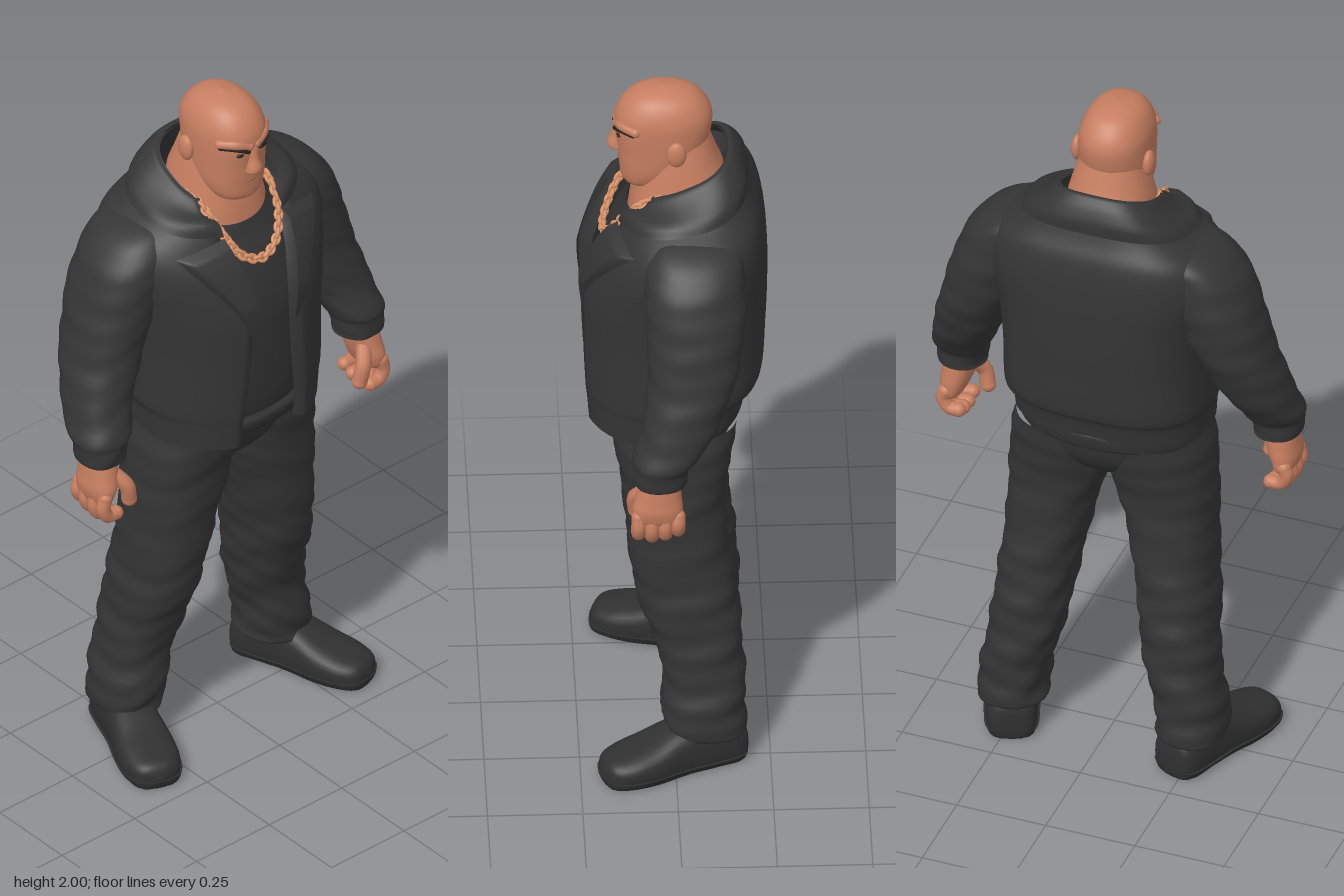
import * as THREE from 'three';
import { mergeVertices, mergeGeometries } from 'three/addons/utils/BufferGeometryUtils.js';

const mat = (name, color, side = THREE.FrontSide) => {
  const m = new THREE.MeshStandardMaterial({ color, side });
  m.name = name;
  return m;
};
const lerp = THREE.MathUtils.lerp;
const V = (x, y, z) => new THREE.Vector3(x, y, z);

// Smooth interpolation between cross-section rows [x, y, z, radiusX, radiusZ, tilt, gap]
function sample(rows, v) {
  const n = rows.length, i = Math.min(Math.floor(v), n - 2), f = v - i;
  const row = k => rows[Math.max(0, Math.min(n - 1, k))];
  return rows[0].map((_, c) => {
    const [a, b, d, e] = [row(i - 1)[c], row(i)[c], row(i + 1)[c], row(i + 2)[c]];
    return b + 0.5 * f * (d - a + f * (2 * a - 5 * b + 4 * d - e + f * (3 * (b - d) + e - a)));
  });
}

// Point on a lofted skin; angle 0 faces the front, lower powers give boxier sections
function skinPoint(rows, v, angle, { power = 0.9, backPower = power, ripple = 0, grow = 0 } = {}) {
  const [x, y, z, a, b, tilt = 0] = sample(rows, v);
  const s = Math.sin(angle), c = Math.cos(angle), e = c < 0 ? backPower : power;
  const fold = Math.sin(y * 62 + 1.9 * s + Math.sin(2 * angle)) * Math.sin(y * 21 + 1.4 * c + angle * 2);
  const k = 1 + ripple * (1 - 0.8 * v / (rows.length - 1)) * fold;
  const dx = Math.sign(s) * Math.abs(s) ** e * (Math.max(a, 0) * k + grow);
  const dz = Math.sign(c) * Math.abs(c) ** e * (Math.max(b, 0) * k + grow);
  return [x + dx, y - tilt * dz + grow * 0.6, z + dz];
}

// Grid surface from a function of two parameters in 0..1
function surface(fn, nu, nv) {
  const pos = [], idx = [];
  for (let j = 0; j <= nv; j++) for (let i = 0; i <= nu; i++) pos.push(...fn(i / nu, j / nv));
  for (let j = 0; j < nv; j++) for (let i = 0; i < nu; i++) {
    const p = j * (nu + 1) + i, q = p + nu + 1;
    idx.push(p, p + 1, q + 1, p, q + 1, q);
  }
  const g = new THREE.BufferGeometry();
  g.setAttribute('position', new THREE.Float32BufferAttribute(pos, 3));
  g.setIndex(idx);
  const m = mergeVertices(g, 1e-5);
  m.computeVertexNormals();
  return m;
}
const loft = (rows, opts = {}, nu = 36) => surface(
  (u, t) => skinPoint(rows, t * (rows.length - 1), u * Math.PI * 2, opts), nu, (rows.length - 1) * 6);

function mirror(geo) {
  const g = geo.clone().scale(-1, 1, 1), a = g.index.array;
  for (let i = 0; i < a.length; i += 3) [a[i], a[i + 1]] = [a[i + 1], a[i]];
  return g;
}
const ball = (x, y, z, sx, sy, sz) => new THREE.SphereGeometry(1, 20, 14).scale(sx, sy, sz).translate(x, y, z);

// Round-ended tube through points
function rod(points, r) {
  const pts = points.map(p => V(...p));
  const ends = [pts[0], pts[pts.length - 1]].map(p => ball(p.x, p.y, p.z, r, r, r));
  return mergeGeometries([new THREE.TubeGeometry(new THREE.CatmullRomCurve3(pts), 14, r, 10), ...ends]);
}

export function createModel() {
  const group = new THREE.Group();
  const skin = mat('skin', 0xc67e60), lip = mat('lip', 0xaa664e), dark = mat('eyebrow', 0x2a211e);
  const leather = mat('jacket', 0x353536, THREE.DoubleSide), cotton = mat('shirt', 0x333334, THREE.DoubleSide);
  const cloth = mat('trousers', 0x343435), shoeMat = mat('shoe', 0x303031), chainMat = mat('chain', 0xdc9468);
  const add = (name, geo, material) => {
    const m = new THREE.Mesh(geo, material);
    m.name = name;
    group.add(m);
  };
  const pair = (name, geo, material) => {
    add(name + 'Left', geo, material);
    add(name + 'Right', mirror(geo), material);
  };

  // Head and thick neck
  add('head', loft([
    [0, 1.70, 0.07, 0, 0], [0, 1.706, 0.07, 0.046, 0.045], [0, 1.725, 0.063, 0.073, 0.07],
    [0, 1.765, 0.043, 0.09, 0.095], [0, 1.82, 0.027, 0.095, 0.116], [0, 1.88, 0.022, 0.096, 0.128],
    [0, 1.925, 0.02, 0.092, 0.124], [0, 1.965, 0.02, 0.074, 0.099], [0, 1.988, 0.02, 0.046, 0.062],
    [0, 2.0, 0.02, 0, 0]]), skin);
  add('neck', loft([[0, 1.56, 0, 0.15, 0.12], [0, 1.66, -0.012, 0.13, 0.12], [0, 1.73, -0.022, 0.115, 0.117],
    [0, 1.79, -0.018, 0.1, 0.1], [0, 1.86, -0.01, 0.08, 0.085]]), skin);
  add('nose', loft([[0, 1.802, 0.138, 0, 0], [0, 1.806, 0.14, 0.022, 0.022], [0, 1.82, 0.143, 0.022, 0.026],
    [0, 1.85, 0.136, 0.017, 0.023], [0, 1.885, 0.132, 0.016, 0.018], [0, 1.9, 0.13, 0, 0]], {}, 20), skin);
  add('mouth', rod([[-0.036, 1.765, 0.125], [0, 1.774, 0.137], [0.036, 1.765, 0.125]], 0.004), lip);
  add('chin', ball(0, 1.73, 0.111, 0.04, 0.024, 0.024), skin);
  pair('ear', ball(0.1, 1.842, -0.01, 0.016, 0.038, 0.026), skin);
  pair('browRidge', rod([[0.012, 1.888, 0.14], [0.045, 1.9, 0.13], [0.076, 1.9, 0.097]], 0.014), skin);
  pair('eyebrow', rod([[0.02, 1.877, 0.149], [0.046, 1.889, 0.14], [0.08, 1.892, 0.104]], 0.006), dark);
  pair('eye', ball(0.038, 1.869, 0.139, 0.014, 0.006, 0.006), dark);

  // Shirt
  add('shirt', loft([
    [0, 1.0, 0, 0.245, 0.172, 0], [0, 1.1, 0.008, 0.25, 0.188, 0], [0, 1.3, 0.002, 0.255, 0.203, 0],
    [0, 1.42, 0, 0.255, 0.2, 0], [0, 1.54, -0.012, 0.235, 0.177, 0], [0, 1.62, -0.013, 0.18, 0.148, 0.2],
    [0, 1.668, -0.008, 0.13, 0.125, 0.3]], { power: 0.95, backPower: 0.8 }, 48), cotton);

  // Jacket body: open at the front, columns given as y, half width, back z, front z, tilt, gap angle
  const jacketRows = [
    [1.02, 0.262, -0.185, 0.235, 0.1, 0.33], [1.09, 0.268, -0.2, 0.24, 0.08, 0.31],
    [1.13, 0.28, -0.235, 0.243, 0.05, 0.28], [1.28, 0.282, -0.245, 0.245, 0, 0.22],
    [1.42, 0.295, -0.25, 0.24, 0, 0.2], [1.54, 0.32, -0.248, 0.205, 0, 0.25],
    [1.625, 0.305, -0.233, 0.163, 0.05, 0.31], [1.682, 0.225, -0.205, 0.135, 0.08, 0.44],
    [1.72, 0.158, -0.172, 0.118, 0.34, 0.72], [1.745, 0.126, -0.143, 0.1, 0.44, 0.95],
  ].map(([y, a, zb, zf, tilt, gap]) => [0, y, (zb + zf) / 2, a, (zf - zb) / 2, tilt, gap]);
  const shape = { power: 0.95, backPower: 0.72 };
  const jacketPoint = (v, u, grow = 0) => {
    const g = sample(jacketRows, v)[6];
    return skinPoint(jacketRows, v, g + u * (Math.PI * 2 - 2 * g), { ...shape, grow });
  };
  add('jacketBody', surface((u, t) => {
    const p = jacketPoint(t * 9, u);
    if (u === 0 || u === 1) p[2] -= 0.025; // folded front edge
    return p;
  }, 80, 54), leather);

  // Collar and pointed lapels lie slightly proud of the jacket
  add('collar', surface((u, t) => {
    const v = lerp(6.3 + 0.9 * Math.sin(u * Math.PI), 9, t);
    const edge = Math.min(1, t * 6, (1 - t) * 6 + 0.4, u * 30 + 0.3, (1 - u) * 30 + 0.3);
    return jacketPoint(v, u, 0.011 * edge);
  }, 80, 14), leather);
  pair('lapel', surface((u, t) => {
    const v = lerp(3.5, 6.25 - 0.45 * u, t);
    const angle = sample(jacketRows, v)[6] + u * (0.06 + 0.48 * t);
    return skinPoint(jacketRows, v, angle, { ...shape, grow: 0.015 * Math.min(1, (1 - u) * 6, (1 - t) * 8, t * 4) });
  }, 14, 24), leather);

  // Sleeves with cuffs
  pair('sleeve', loft([
    [0.44, 1.04, 0.045, 0, 0], [0.44, 1.035, 0.045, 0.058, 0.06], [0.443, 1.05, 0.045, 0.066, 0.069],
    [0.442, 1.09, 0.04, 0.07, 0.074], [0.435, 1.115, 0.03, 0.078, 0.086], [0.408, 1.2, -0.01, 0.088, 0.1],
    [0.372, 1.3, -0.037, 0.098, 0.114], [0.337, 1.4, -0.05, 0.106, 0.126], [0.303, 1.5, -0.052, 0.112, 0.133],
    [0.27, 1.58, -0.052, 0.108, 0.13], [0.24, 1.63, -0.055, 0.093, 0.118], [0.215, 1.66, -0.055, 0.055, 0.08],
    [0.2, 1.67, -0.055, 0, 0]], { ripple: 0.05 }), leather);

  // Hands: palms face inward, fingers hang and curl
  pair('palm', loft([
    [0.465, 0.918, 0.05, 0, 0], [0.467, 0.923, 0.05, 0.024, 0.055], [0.463, 0.96, 0.053, 0.039, 0.066],
    [0.455, 1.0, 0.05, 0.043, 0.06], [0.445, 1.06, 0.045, 0.046, 0.05]], {}, 24), skin);
  [0.103, 0.068, 0.033, 0].forEach((z, i) => {
    const drop = [0.008, 0, 0.005, 0.018][i];
    pair('finger' + (i + 1), rod([[0.475, 0.945, z], [0.482, 0.905 + drop, z], [0.466, 0.877 + drop, z],
      [0.438, 0.874 + drop, z]], 0.0195), skin);
  });
  pair('thumb', rod([[0.435, 1.0, 0.08], [0.408, 0.96, 0.11], [0.397, 0.912, 0.108]], 0.021), skin);

  // Trousers
  add('hips', loft([
    [0, 0.86, 0, 0, 0], [0, 0.87, 0, 0.06, 0.08], [0, 0.9, -0.002, 0.12, 0.122],
    [0, 0.96, -0.003, 0.22, 0.157], [0, 1.05, -0.003, 0.258, 0.175]], { power: 0.85 }, 48), cloth);
  add('belt', loft([[0, 1.0, 0, 0.25, 0.172], [0, 1.01, 0.005, 0.255, 0.192], [0, 1.045, 0.008, 0.255, 0.196],
    [0, 1.055, 0.005, 0.25, 0.18]], { power: 0.9 }, 48), shoeMat);
  pair('trouserLeg', loft([
    [0.252, 0.11, -0.08, 0, 0], [0.252, 0.095, -0.08, 0.083, 0.098], [0.251, 0.13, -0.078, 0.092, 0.106],
    [0.245, 0.2, -0.076, 0.09, 0.11], [0.222, 0.3, -0.074, 0.096, 0.108], [0.207, 0.4, -0.055, 0.1, 0.12],
    [0.196, 0.5, -0.034, 0.103, 0.131], [0.182, 0.6, -0.018, 0.107, 0.133], [0.162, 0.75, -0.003, 0.121, 0.133],
    [0.143, 0.86, 0, 0.137, 0.141], [0.135, 0.95, -0.002, 0.136, 0.158], [0.13, 1.02, -0.002, 0.125, 0.165]],
    { ripple: 0.075, power: 0.85 }), cloth);

  // Shoes: lofted along their length, flattened on the ground, toes turned out
  const shoeGeometry = (grow, top) => {
    const g = loft([
      [0, -0.085, -0.05, 0, 0], [0, -0.08, -0.05, 0.048, 0.05], [0, -0.05, -0.055, 0.066, 0.075],
      [0, 0.02, -0.065, 0.07, 0.085], [0, 0.1, -0.056, 0.07, 0.076], [0, 0.18, -0.042, 0.079, 0.058],
      [0, 0.25, -0.035, 0.076, 0.046], [0, 0.3, -0.03, 0.052, 0.036], [0, 0.318, -0.03, 0, 0]],
      { power: 0.75, grow }, 32).rotateX(Math.PI / 2);
    const p = g.attributes.position;
    for (let i = 0; i < p.count; i++) p.setY(i, Math.min(top, Math.max(0, p.getY(i))));
    g.computeVertexNormals();
    return g.rotateY(0.36).translate(0.25, 0, -0.1);
  };
  pair('shoe', shoeGeometry(0, 1), shoeMat);
  pair('sole', shoeGeometry(0.004, 0.024), shoeMat);

  // Neck chain of interlocking links, its ends tucked under the collar
  const half = [[0.058, 1.57, 0.168], [0.095, 1.635, 0.132], [0.11, 1.69, 0.08], [0.112, 1.715, 0.02]];
  const path = new THREE.CatmullRomCurve3([...half.slice().reverse().map(([x, y, z]) => V(-x, y, z)),
    V(0, 1.545, 0.182), ...half.map(p => V(...p))]);
  const links = [];
  for (let i = 0; i <= 36; i++) {
    const g = new THREE.TorusGeometry(0.0095, 0.0055, 6, 12).scale(1.25, 1, 1).rotateX(i % 2 ? 0.6 : -0.6);
    g.applyQuaternion(new THREE.Quaternion().setFromUnitVectors(V(1, 0, 0), path.getTangentAt(i / 36)));
    const p = path.getPointAt(i / 36);
    links.push(g.translate(p.x, p.y, p.z));
  }
  add('chain', mergeGeometries(links), chainMat);

  return group;
}
